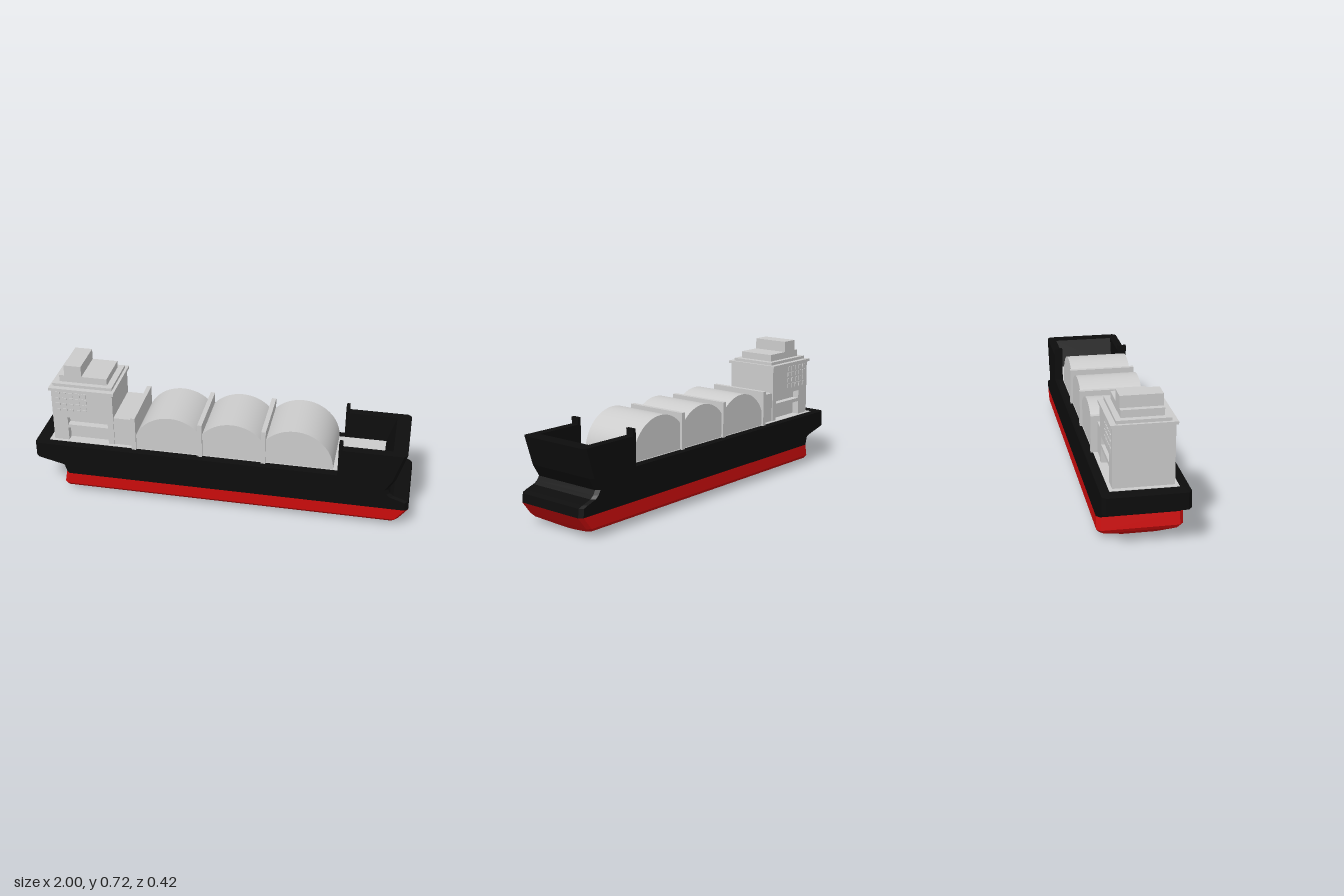
import * as THREE from 'three';

const mat = (color) => new THREE.MeshStandardMaterial({ color });
const grey = mat(0xcccccc), black = mat(0x0d0d0d), red = mat(0xcc0c0c);

// Waterlines stacked upwards: [y, aft x, fore x, half width], with chamfered corners
function loftHull(levels) {
  const rings = levels.map(([y, a, f, w]) => {
    const c = Math.min(0.018, w / 2);
    return [[f, c - w], [f, w - c], [f - c, w], [a + c, w], [a, w - c], [a, c - w], [a + c, -w], [f - c, -w]]
      .map(([x, z]) => [x, y, z]);
  });
  const pos = [], n = 8, tri = (...p) => p.forEach((v) => pos.push(...v));
  for (let i = 0; i < rings.length - 1; i++) {
    for (let j = 0; j < n; j++) {
      const k = (j + 1) % n, lo = rings[i], hi = rings[i + 1];
      tri(lo[j], hi[j], lo[k]);
      tri(lo[k], hi[j], hi[k]);
    }
  }
  const bottom = rings[0], top = rings[rings.length - 1];
  for (let j = 1; j < n - 1; j++) {
    tri(bottom[0], bottom[j], bottom[j + 1]);
    tri(top[0], top[j + 1], top[j]);
  }
  const g = new THREE.BufferGeometry();
  g.setAttribute('position', new THREE.Float32BufferAttribute(pos, 3));
  g.computeVertexNormals();
  return g;
}

const polygon = (pts) => new THREE.Shape(pts.map(([x, y]) => new THREE.Vector2(x, y)));

export function createModel() {
  const ship = new THREE.Group();
  ship.name = 'tankerShip';
  const add = (name, geometry, material = grey) => {
    const m = new THREE.Mesh(geometry, material);
    m.name = name;
    ship.add(m);
    return m;
  };
  // Box given by its limits in x, y and z
  const box = (name, x0, x1, y0, y1, z0, z1, material) =>
    add(name, new THREE.BoxGeometry(x1 - x0, y1 - y0, z1 - z0), material)
      .position.set((x0 + x1) / 2, (y0 + y1) / 2, (z0 + z1) / 2);

  // Hull below and above the waterline
  add('lowerHull', loftHull([
    [0, -0.8, 0.885, 0.03], [0.01, -0.82, 0.9, 0.1], [0.032, -0.842, 0.935, 0.195],
    [0.05, -0.85, 0.95, 0.21], [0.115, -0.837, 1, 0.21],
  ]), red);
  add('upperHull', loftHull([
    [0.115, -0.837, 1, 0.21], [0.16, -0.85, 0.995, 0.21], [0.17, -0.87, 0.97, 0.21],
    [0.187, -0.94, 0.918, 0.21], [0.202, -1, 0.9, 0.21], [0.225, -1, 0.887, 0.21], [0.288, -1, 0.925, 0.21],
  ]), black);
  box('deck', -0.93, 0.85, 0.27, 0.29, -0.165, 0.165);

  // Raised bow wall, open aft, with a forward-leaning stem
  const bow = new THREE.ExtrudeGeometry(polygon([
    [0.625, -0.21], [0.907, -0.21], [0.925, -0.192], [0.925, 0.192], [0.907, 0.21], [0.625, 0.21],
    [0.625, 0.165], [0.85, 0.165], [0.85, -0.165], [0.625, -0.165],
  ]), { depth: 0.152, bevelEnabled: false });
  bow.rotateX(-Math.PI / 2).translate(0, 0.288, 0);
  const p = bow.attributes.position;
  for (let i = 0; i < p.count; i++) {
    if (p.getX(i) > 0.8) p.setX(i, p.getX(i) + (p.getY(i) - 0.288) * 0.31);
  }
  bow.computeVertexNormals();
  add('bowWall', bow, black);
  for (const s of [-1, 1]) {
    box('bowPost', 0.625, 0.643, 0.288, 0.475, s * 0.1875 - 0.0225, s * 0.1875 + 0.0225, black);
  }

  // Half-round cargo tanks and the bulkheads between them
  const tank = new THREE.CylinderGeometry(0.203, 0.203, 0.326, 48, 1, false, -Math.PI / 2, Math.PI);
  tank.rotateX(-Math.PI / 2);
  for (const x of [-0.262, 0.066, 0.395]) add('cargoTank', tank).position.set(x, 0.291, 0);
  for (const x of [-0.459, -0.102, 0.234]) box('bulkhead', x - 0.012, x + 0.012, 0.285, 0.48, -0.176, 0.176);
  box('machineryHouse', -0.58, -0.465, 0.285, 0.45, -0.142, 0.142);

  // Deckhouse core and side walls with a notch for the boat bay
  box('deckhouse', -0.905, -0.573, 0.285, 0.59, -0.11, 0.11);
  const wall = new THREE.ExtrudeGeometry(polygon([
    [-0.905, 0.285], [-0.825, 0.285], [-0.825, 0.43], [-0.605, 0.43], [-0.605, 0.285],
    [-0.573, 0.285], [-0.573, 0.59], [-0.905, 0.59],
  ]), { depth: 0.038, bevelEnabled: false });
  for (const s of [-1, 1]) {
    add('sideWall', wall).position.z = s > 0 ? 0.11 : -0.148;
    box('boatBayLedge', -0.825, -0.605, 0.365, 0.385, s * 0.128 - 0.019, s * 0.128 + 0.019);
    // Window grid
    for (let c = 0; c < 5; c++) {
      for (let r = 0; r < 4; r++) {
        const x = -0.87 + c * 0.036, y = 0.47 + r * 0.033;
        box('window', x - 0.012, x + 0.012, y - 0.012, y + 0.012, s * 0.146 - 0.006, s * 0.146 + 0.006);
      }
    }
  }

  // Stepped roof and funnel
  box('roofSlab', -0.915, -0.563, 0.59, 0.605, -0.158, 0.158);
  box('roofStep', -0.9, -0.578, 0.605, 0.621, -0.13, 0.13);
  box('bridge', -0.868, -0.61, 0.621, 0.658, -0.103, 0.103);
  box('funnel', -0.84, -0.747, 0.658, 0.717, -0.103, 0.103);
  return ship;
}
